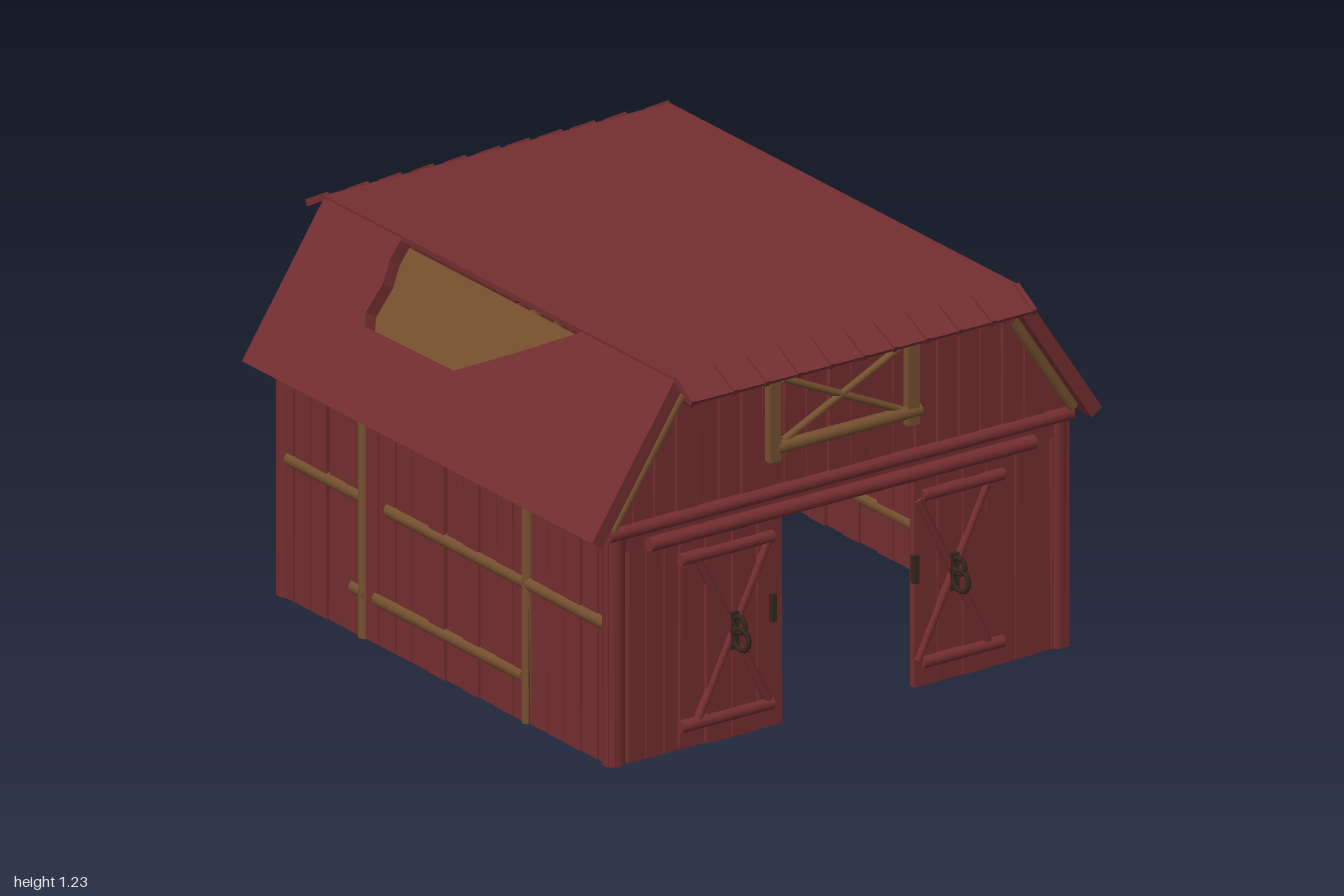
import * as THREE from 'three';

const mat = (name, color) => Object.assign(new THREE.MeshStandardMaterial({ color }), { name });
const red = mat('barn red', 0x742e30);
const brown = mat('timber brown', 0x75502f);
const iron = mat('dark iron', 0x36251d);

export function createModel() {
  let seed = 7;
  const rnd = () => (seed = (seed * 16807) % 2147483647) / 2147483647;
  const jit = (a) => (rnd() - 0.5) * 2 * a;

  const model = new THREE.Group();
  model.name = 'barn';
  const group = (name, parent = model) => {
    const g = new THREE.Group();
    g.name = name;
    parent.add(g);
    return g;
  };
  const add = (parent, name, geo, material, x = 0, y = 0, z = 0) => {
    const m = new THREE.Mesh(geo, material);
    m.name = name;
    m.position.set(x, y, z);
    parent.add(m);
    return m;
  };
  const box = (p, name, w, h, d, m, x, y, z) => add(p, name, new THREE.BoxGeometry(w, h, d), m, x, y, z);

  // Round timber between two points
  const beam = (p, name, a, b, r, m) => {
    const A = new THREE.Vector3(...a), B = new THREE.Vector3(...b);
    const dir = B.clone().sub(A);
    const mesh = add(p, name, new THREE.CylinderGeometry(r, r, dir.length(), 10), m);
    mesh.position.copy(A).add(B).multiplyScalar(0.5);
    mesh.quaternion.setFromUnitVectors(new THREE.Vector3(0, 1, 0), dir.normalize());
    return mesh;
  };

  // Row of slightly crooked vertical planks in the local XY plane
  const planks = (p, x0, x1, n, bottom, top, thick = 0.025) => {
    const step = (x1 - x0) / n;
    for (let i = 0; i < n; i++) {
      const cx = x0 + (i + 0.5) * step, w = step - 0.002 - rnd() * 0.005;
      const geo = new THREE.BoxGeometry(w, 1, thick);
      const pos = geo.attributes.position;
      const lean = jit(0.003), taper = 1 - rnd() * 0.06;
      for (let k = 0; k < pos.count; k++) {
        const up = pos.getY(k) > 0;
        const x = cx + pos.getX(k) * (up ? taper : 1) + (up ? lean : 0);
        pos.setXY(k, x, up ? top(x) : bottom);
      }
      geo.computeVertexNormals();
      add(p, 'plank', geo, red, 0, 0, jit(0.005));
    }
  };
  const wallTop = () => 0.735 + jit(0.003);

  // Side walls with brown framing
  for (const s of [1, -1]) {
    const side = group(s > 0 ? 'leftWall' : 'rightWall');
    const row = group('sidePlanks', side);
    row.rotation.y = -Math.PI / 2;
    row.position.x = s * 0.825;
    planks(row, -0.86, 0.87, 20, 0, wallTop);
    for (const z of [0.415, -0.425])
      beam(side, 'sidePost', [s * 0.83, 0, z], [s * 0.83, 0.735, z], 0.02, brown);
    const runs = [[0.45, 0.82, -0.3], [0.45, -0.43, -0.81], [0.145, 0.4, -0.36], [0.145, -0.41, -0.48], [0.715, -0.43, -0.81]];
    for (const [y, a, b] of runs)
      beam(side, 'sideRail', [s * 0.827, y, a], [s * 0.827, y, b], 0.023, brown);
    beam(side, 'upperSideRail', [s * 0.827, 0.705, 0.8], [s * 0.827, 0.705, 0.45], 0.018, red);
    // Corner posts
    for (const z of [0.835, -0.835])
      beam(side, 'cornerPost', [s * 0.815, 0, z], [s * 0.815, 0.74, z], 0.036, red);
  }

  // Back wall with brown frame
  const back = group('backWall');
  const backRow = group('backPlanks', back);
  backRow.position.z = -0.845;
  planks(backRow, -0.85, 0.85, 19, 0, wallTop);
  for (const x of [0.65, 0.18, -0.68])
    beam(back, 'backPost', [x, 0, -0.85], [x, 0.72, -0.85], 0.024, brown);
  for (const y of [0.69, 0.45, 0.14])
    beam(back, 'backRail', [0.65, y, -0.848], [-0.68, y, -0.848], 0.023, brown);

  // Front wall beside the doorway
  const front = group('frontWall');
  const frontRow = group('frontPlanks', front);
  frontRow.position.z = 0.845;
  planks(frontRow, -0.85, -0.58, 4, 0, wallTop);
  planks(frontRow, 0.58, 0.85, 4, 0, wallTop);
  for (const s of [1, -1])
    beam(front, 'innerDoorPost', [s * 0.6, 0, 0.83], [s * 0.6, 0.72, 0.83], 0.022, brown);
  box(front, 'lintel', 1.66, 0.06, 0.03, red, 0, 0.715, 0.845);
  beam(front, 'doorRail', [-0.72, 0.7, 0.885], [0.7, 0.7, 0.885], 0.023, red);
  beam(front, 'innerDoorRail', [-0.8, 0.69, 0.83], [0.8, 0.69, 0.83], 0.02, brown);

  // Doors with cross braces and iron knockers
  for (const [x0, x1, s] of [[-0.6, -0.22, -1], [0.26, 0.62, 1]]) {
    const door = group(s > 0 ? 'leftDoor' : 'rightDoor');
    door.position.z = 0.865;
    planks(door, x0, x1, 4, 0.005, () => 0.675 + jit(0.005), 0.022);
    const a = s > 0 ? x0 + 0.03 : x0, b = s > 0 ? x1 - 0.03 : x1 - 0.04, c = s * 0.405;
    for (const y of [0.62, 0.08])
      beam(door, 'doorCrossbar', [a, y, 0.012], [b, y, 0.012], 0.02, red);
    for (const e of [1, -1])
      beam(door, 'doorBrace', [c - e * 0.13, 0.09, 0.012], [c + e * 0.13, 0.61, 0.012], 0.014, red);
    box(door, 'knockerPlate', 0.03, 0.12, 0.012, iron, c, 0.35, 0.02);
    for (const [r, y, z] of [[0.034, 0.33, 0.055], [0.026, 0.375, 0.045]]) {
      const ring = add(door, 'knockerRing', new THREE.TorusGeometry(r, 0.008, 6, 16), iron, c, y, z);
      ring.rotation.y = Math.PI / 2 + 0.15;
    }
    box(door, 'doorPull', 0.018, 0.09, 0.02, iron, s * 0.262, 0.39, 0.018);
  }

  // Gables: planks follow the underside of the roof
  const roofY = (x) => Math.min(1.19, 1.15 - (Math.abs(x) - 0.635) * 1.508);
  for (const s of [1, -1]) {
    const gable = group(s > 0 ? 'frontGable' : 'backGable');
    gable.position.z = s * 0.845;
    planks(gable, -0.84, 0.84, 21, 0.755, roofY);
    beam(gable, 'gableSill', [-0.855, 0.75, s * 0.015], [0.855, 0.75, s * 0.015], 0.022, red);
    for (const e of [1, -1]) {
      beam(gable, 'purlinEnd', [e * 0.575, 1.145, -s * 0.06], [e * 0.575, 1.145, s * 0.09], 0.024, red);
      beam(gable, 'gableRafter', [e * 0.85, 0.775, s * 0.03], [e * 0.595, 1.155, s * 0.03], 0.017, brown);
    }
  }

  // Loft hatch frame on the front gable
  const hatch = group('loftHatch');
  hatch.position.z = 0.868;
  beam(hatch, 'hatchTop', [-0.3, 1.13, 0], [0.3, 1.13, 0], 0.021, brown);
  beam(hatch, 'hatchSill', [-0.24, 0.895, 0], [0.29, 0.895, 0], 0.021, brown);
  for (const x of [-0.25, 0.26])
    box(hatch, 'hatchJamb', 0.042, 0.27, 0.03, brown, x, 0.99, 0);
  for (const e of [1, -1])
    beam(hatch, 'hatchBrace', [-0.21, 1.01 - e * 0.1, -0.005], [0.22, 1.01 + e * 0.1, -0.005], 0.012, brown);

  // Flat roof top with brown ceiling
  const roof = group('roof');
  box(roof, 'roofTop', 1.275, 0.016, 1.8, red, 0, 1.216, 0);
  box(roof, 'roofCeiling', 1.2, 0.012, 1.72, brown, 0, 1.2, 0);

  // Steep side slopes, each broken open onto the lining behind
  const L = 0.552;
  const slope = (s, name, outline, thick, offset, material) => {
    const shape = new THREE.Shape(outline.map(([z, d]) => new THREE.Vector2(z * s, d)));
    const geo = new THREE.ExtrudeGeometry(shape, { depth: thick, bevelEnabled: false });
    const down = new THREE.Vector3(s * 0.305, -0.46, 0).normalize();
    const out = new THREE.Vector3(s * 0.46, 0.305, 0).normalize();
    const along = new THREE.Vector3().crossVectors(down, out);
    geo.translate(0, 0, -offset - thick);
    geo.applyMatrix4(new THREE.Matrix4().makeBasis(along, down, out));
    add(roof, name, geo, material, s * 0.635, 1.22, 0);
  };
  const broken = [[0.9, 0], [0.43, 0], [0.2, 0.15], [-0.02, 0.285], [-0.47, 0.29], [-0.495, 0.25],
    [-0.485, 0.15], [-0.505, 0.08], [-0.5, 0], [-0.9, 0], [-0.9, L], [0.9, L]];
  const lining = [[0.86, 0.02], [-0.86, 0.02], [-0.86, L - 0.06], [0.86, L - 0.06]];
  for (const s of [1, -1]) {
    slope(s, 'roofSlope', broken, 0.045, 0, red);
    slope(s, 'roofLining', lining, 0.012, 0.045, brown);
  }

  // Sloping eaves with battens at both ends
  for (const s of [1, -1]) {
    const eave = group(s > 0 ? 'frontEave' : 'backEave');
    eave.position.set(0, 1.195, s * 0.942);
    eave.rotation.x = s * 0.5;
    box(eave, 'eaveBoard', 1.265, 0.012, 0.108, red, 0, 0, 0);
    for (const x of [-0.63, -0.48, -0.36, -0.24, -0.12, 0, 0.11, 0.23, 0.35, 0.47, 0.625])
      box(eave, 'eaveBatten', 0.016, 0.022, 0.112, red, x, 0.002, 0).rotation.y = jit(0.06);
  }
  return model;
}
